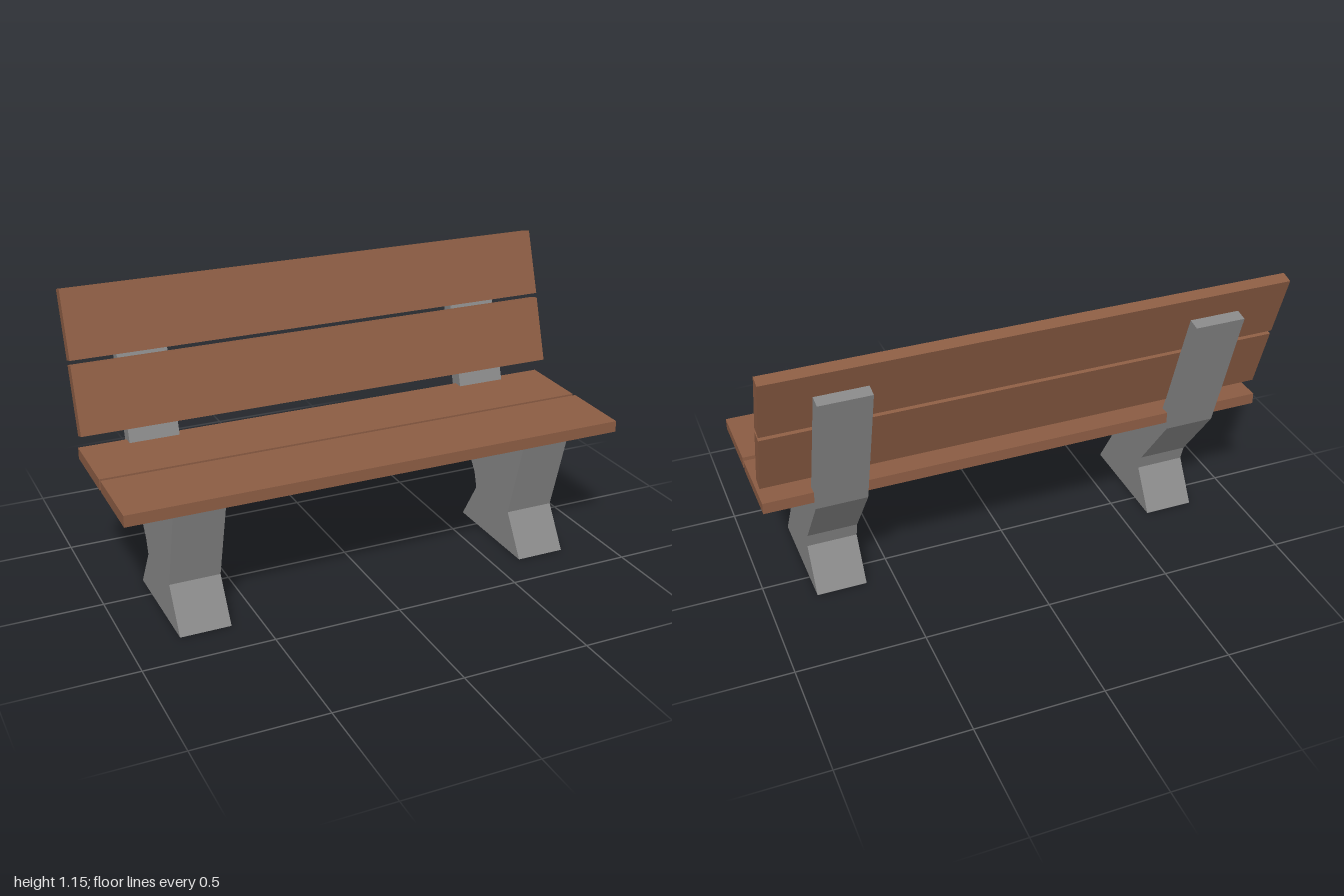
import * as THREE from 'three';

const wood = new THREE.MeshStandardMaterial({ color: 0x8b5c43 });
wood.name = 'brown wood';
const concrete = new THREE.MeshStandardMaterial({ color: 0x888888 });
concrete.name = 'grey concrete';

// Side profile given as [z, y] points, extruded along x and centred on the given x
function sidePart(name, profile, width, x, material) {
  const shape = new THREE.Shape(profile.map(([z, y]) => new THREE.Vector2(-z, y)));
  const geometry = new THREE.ExtrudeGeometry(shape, { depth: width, bevelEnabled: false });
  geometry.translate(0, 0, -width / 2);
  geometry.rotateY(Math.PI / 2);
  const mesh = new THREE.Mesh(geometry, material);
  mesh.name = name;
  mesh.position.x = x;
  return mesh;
}

export function createModel() {
  const bench = new THREE.Group();
  bench.name = 'bench';

  // Hourglass foot with a notch and a leaning back post
  const support = [
    [0.346, 0], [0.243, 0.165], [0.346, 0.527], [-0.122, 0.527], [-0.094, 0.432],
    [-0.17, 0.53], [-0.337, 1.035], [-0.386, 1.026], [-0.225, 0.49],
    [-0.033, 0.228], [-0.014, 0.165], [-0.118, 0],
  ];
  for (const side of [1, -1]) {
    const name = side > 0 ? 'leftSupport' : 'rightSupport';
    bench.add(sidePart(name, support, 0.198, side * 0.712, concrete));
  }

  // Planks spanning the full width
  const planks = {
    frontSeatPlank: [[0.389, 0.552], [0.389, 0.507], [0.096, 0.512], [0.097, 0.557]],
    rearSeatPlank: [[0.078, 0.555], [0.077, 0.51], [-0.218, 0.515], [-0.218, 0.56]],
    lowerBackPlank: [[-0.154, 0.628], [-0.2, 0.614], [-0.282, 0.869], [-0.235, 0.881]],
    upperBackPlank: [[-0.24, 0.899], [-0.288, 0.886], [-0.371, 1.138], [-0.324, 1.15]],
  };
  for (const [name, profile] of Object.entries(planks)) {
    bench.add(sidePart(name, profile, 2, 0, wood));
  }

  return bench;
}
